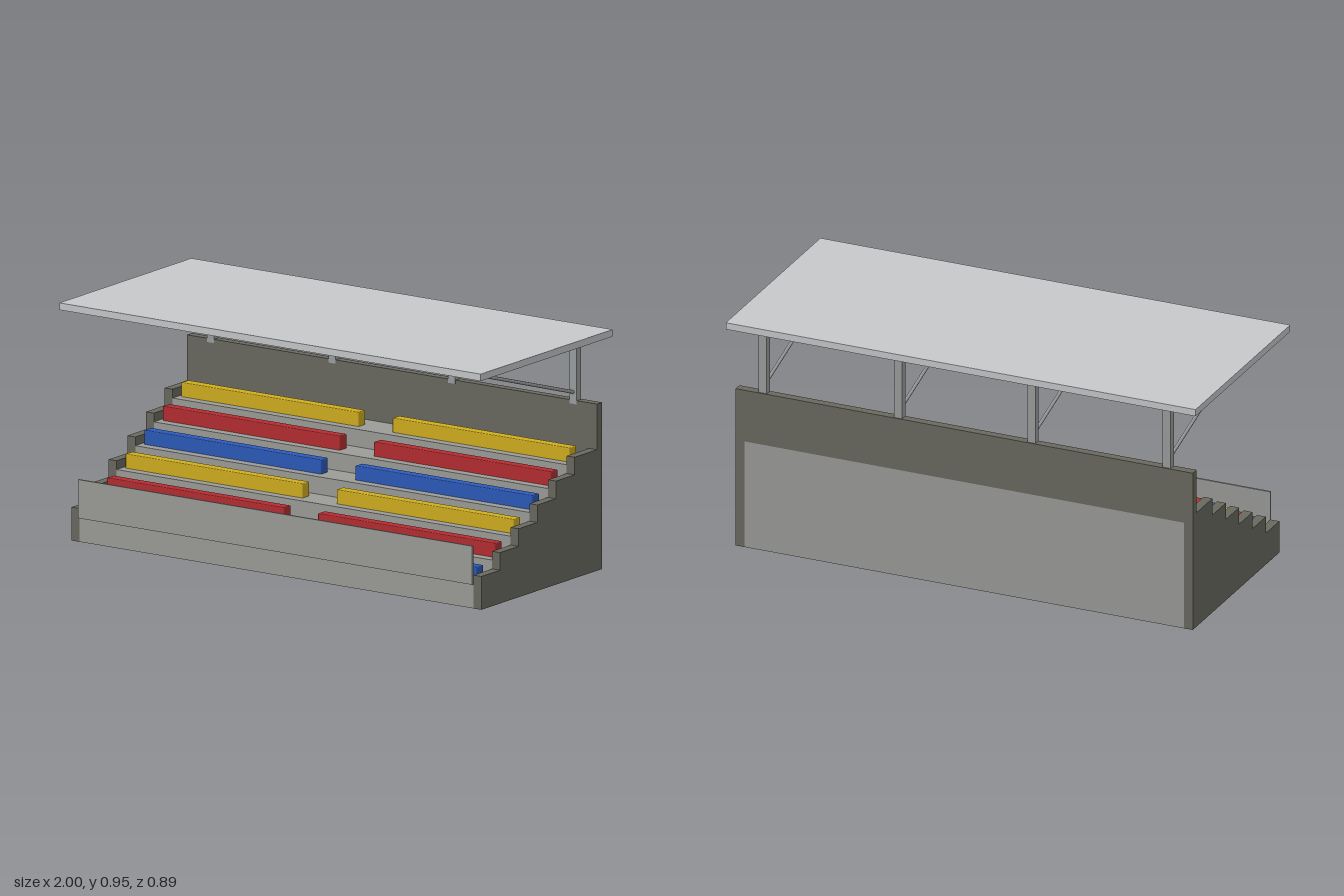
import * as THREE from 'three';
import { RoundedBoxGeometry } from 'three/addons/geometries/RoundedBoxGeometry.js';

const material = (name, color) => {
  const m = new THREE.MeshStandardMaterial({ color });
  m.name = name;
  return m;
};

export function createModel() {
  const model = new THREE.Group();
  model.name = 'grandstand';

  const concrete = material('light concrete', 0x9b9c98);
  const darkConcrete = material('dark concrete', 0x69695f);
  const steel = material('steel', 0x9c9f9f);
  const roofing = material('roof panel', 0xc6c8ca);
  const seatColors = [
    material('blue seat', 0x2b59ba),
    material('red seat', 0xb42d31),
    material('yellow seat', 0xcfad20),
  ];

  const ROWS = 6, FRONT = 0.4, BACK = -0.41, DEPTH = 0.125, RISE = 0.07;
  const WALL_FRONT = -0.375, TREAD = 0.098, LIP = 0.035;
  const INNER = 0.935, OUTER = 0.973;

  const add = (name, geometry, mat, x = 0, y = 0, z = 0) => {
    const mesh = new THREE.Mesh(geometry, mat);
    mesh.name = name;
    mesh.position.set(x, y, z);
    model.add(mesh);
    return mesh;
  };
  // Box given by its limits on each axis
  const span = (name, mat, x0, x1, y0, y1, z0, z1) =>
    add(name, new THREE.BoxGeometry(x1 - x0, y1 - y0, z1 - z0), mat,
      (x0 + x1) / 2, (y0 + y1) / 2, (z0 + z1) / 2);

  // Stepped profile in (z, y), extruded along x
  const stepped = (base, topZ, width) => {
    const points = [new THREE.Vector2(-FRONT, 0)];
    for (let i = 0; i < ROWS; i++) {
      const y = base + i * RISE;
      const end = i === ROWS - 1 ? topZ : FRONT - (i + 1) * DEPTH;
      points.push(new THREE.Vector2(-(FRONT - i * DEPTH), y), new THREE.Vector2(-end, y));
    }
    points.push(new THREE.Vector2(-topZ, 0));
    const g = new THREE.ExtrudeGeometry(new THREE.Shape(points), { depth: width, bevelEnabled: false });
    g.translate(0, 0, -width / 2);
    g.rotateY(Math.PI / 2);
    return g;
  };

  // Terraces, side walls and back wall
  add('terraces', stepped(TREAD, BACK, INNER * 2), concrete);
  for (const side of [-1, 1]) {
    add('sideWall', stepped(TREAD + LIP, BACK, OUTER - INNER), darkConcrete, side * (INNER + OUTER) / 2);
  }
  const terraceTop = TREAD + (ROWS - 1) * RISE;
  span('backWall', darkConcrete, -INNER, INNER, terraceTop, 0.665, BACK, WALL_FRONT);
  for (const side of [-1, 1]) {
    const xs = [side * INNER, side * OUTER].sort((a, b) => a - b);
    span('backWallEnd', darkConcrete, xs[0], xs[1], terraceTop + LIP, 0.665, BACK, WALL_FRONT);
  }
  span('frontBarrier', concrete, -INNER, INNER, 0.096, 0.25, FRONT, 0.408);

  // Bench seats on both sides of the central aisle
  const bench = new RoundedBoxGeometry(0.842, 0.064, 0.046, 1, 0.004);
  for (let i = 0; i < ROWS; i++) {
    for (const side of [-1, 1]) {
      add('bench', bench, seatColors[i % 3], side * 0.501,
        TREAD + i * RISE + 0.025, FRONT - (i + 0.5) * DEPTH);
    }
  }

  // Roof with its posts and diagonal braces
  span('roof', roofing, -1, 1, 0.925, 0.953, -0.443, 0.443);
  const low = new THREE.Vector3(0, 0.697, -0.376);
  const high = new THREE.Vector3(0, 0.925, 0.366);
  const direction = high.clone().sub(low);
  const strut = new THREE.CylinderGeometry(0.007, 0.007, direction.length(), 8);
  for (const x of [-0.86, -0.284, 0.284, 0.86]) {
    span('roofPost', steel, x - 0.017, x + 0.017, 0.65, 0.925, -0.405, -0.374);
    const brace = add('roofBrace', strut, steel, x, (low.y + high.y) / 2, (low.z + high.z) / 2);
    brace.quaternion.setFromUnitVectors(new THREE.Vector3(0, 1, 0), direction.clone().normalize());
  }

  return model;
}
